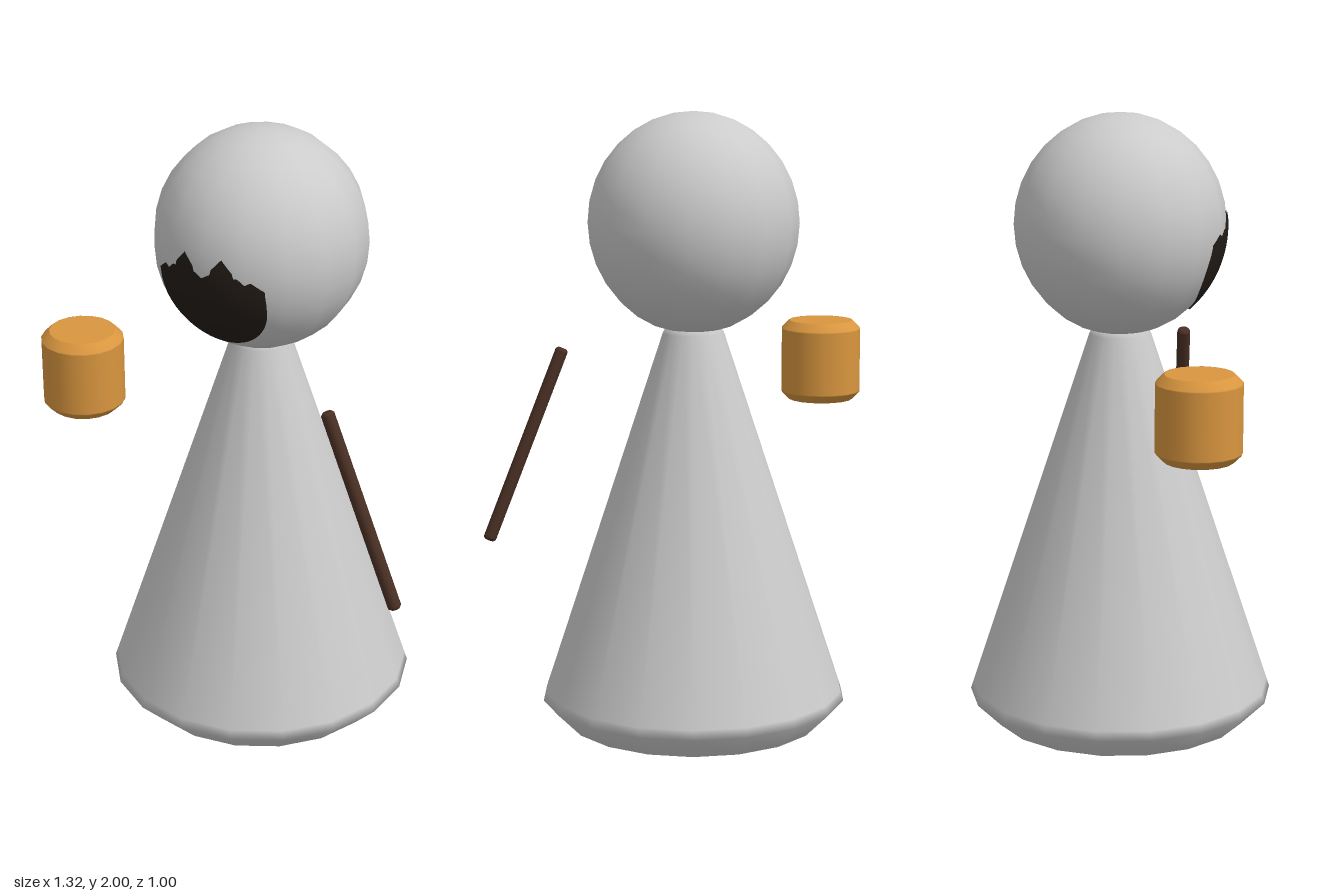
import * as THREE from 'three';

const CX = 0.01; // centre line of the figure
const HEAD = { y: 1.645, r: 0.34, ry: 0.355 };

const paint = (color, side = THREE.FrontSide) => new THREE.MeshStandardMaterial({ color, side });

function addPart(group, name, geometry, material, x, y, z) {
  const mesh = new THREE.Mesh(geometry, material);
  mesh.name = name;
  mesh.position.set(x, y, z);
  group.add(mesh);
  return mesh;
}

// Lathe from [radius, height] pairs, bottom to top
const turned = (profile, sides) =>
  new THREE.LatheGeometry(profile.map(([r, y]) => new THREE.Vector2(r, y)), sides);

// Closed cylinder with bevelled rims, standing on y = 0
const bevelledCylinder = (r, h, b, sides) => turned([
  [0, 0], [r - b - 0.002, 0], [r - b, 0], [r, b], [r, b + 0.004],
  [r, h - b - 0.004], [r, h - b], [r - b, h], [r - b - 0.002, h], [0, h],
], sides);

// Upper edge of the beard: half outline of steps and one spike, mirrored about the centre
const UPPER = [[0, 1.63], [0.042, 1.655], [0.03, 1.66], [0.065, 1.7], [0.1, 1.66],
  [0.09, 1.645], [0.115, 1.645], [0.135, 1.625], [0.152, 1.635], [0.188, 1.605]];

// Flat beard outline, sliced into strips and wrapped over the front of the head
function beardGeometry() {
  const r = 0.188, cy = 1.558, columns = 80, rows = 14;
  const topAt = (x) => {
    let top = 0;
    for (let i = 0; i < UPPER.length - 1; i++) {
      const [x0, y0] = UPPER[i], [x1, y1] = UPPER[i + 1];
      const t = (x - x0) / (x1 - x0);
      if (t >= 0 && t <= 1) top = Math.max(top, y0 + (y1 - y0) * t);
    }
    return top;
  };
  const geometry = new THREE.PlaneGeometry(1, 1, columns, rows);
  const p = geometry.attributes.position;
  for (let i = 0; i < p.count; i++) {
    const x = p.getX(i) * 2 * r;
    const low = cy - Math.sqrt(Math.max(0, r * r - x * x));
    const high = topAt(Math.min(Math.abs(x), r));
    const y = low + (high - low) * (p.getY(i) + 0.5) - HEAD.y;
    const z = HEAD.r * Math.sqrt(1 - (x / HEAD.r) ** 2 - (y / HEAD.ry) ** 2);
    p.setXYZ(i, x, y, z + 0.005);
  }
  geometry.computeVertexNormals();
  return geometry;
}

export function createModel() {
  const group = new THREE.Group();
  group.name = 'figure';
  const grey = paint(0xcccccc);

  // Conical robe with a chamfered foot, running up into the head
  const robe = turned([[0, 0], [0.405, 0], [0.42, 0], [0.5, 0.08], [0.49, 0.11],
    [0.1, 1.29], [0.085, 1.32], [0, 1.32]], 18);
  addPart(group, 'robe', robe, grey, CX, 0, 0);

  // Slightly tall head
  const head = addPart(group, 'head', new THREE.SphereGeometry(HEAD.r, 16, 16), grey, CX, HEAD.y, 0);
  head.scale.y = HEAD.ry / HEAD.r;

  // Dark beard lying on the face
  addPart(group, 'beard', beardGeometry(), paint(0x231c17, THREE.DoubleSide), CX, HEAD.y, 0);

  // Mug floating at the right hand
  addPart(group, 'mug', bevelledCylinder(0.134, 0.27, 0.026, 18), paint(0xd9963f), -0.532, 1.005, 0.225);

  // Leaning stick at the left hand
  const top = new THREE.Vector3(0.384, 1.226, 0.225), foot = new THREE.Vector3(0.642, 0.603, 0.225);
  const stick = addPart(group, 'stick', bevelledCylinder(0.022, top.distanceTo(foot), 0.007, 8),
    paint(0x4a3024), foot.x, foot.y, foot.z);
  stick.quaternion.setFromUnitVectors(new THREE.Vector3(0, 1, 0), top.clone().sub(foot).normalize());

  return group;
}
